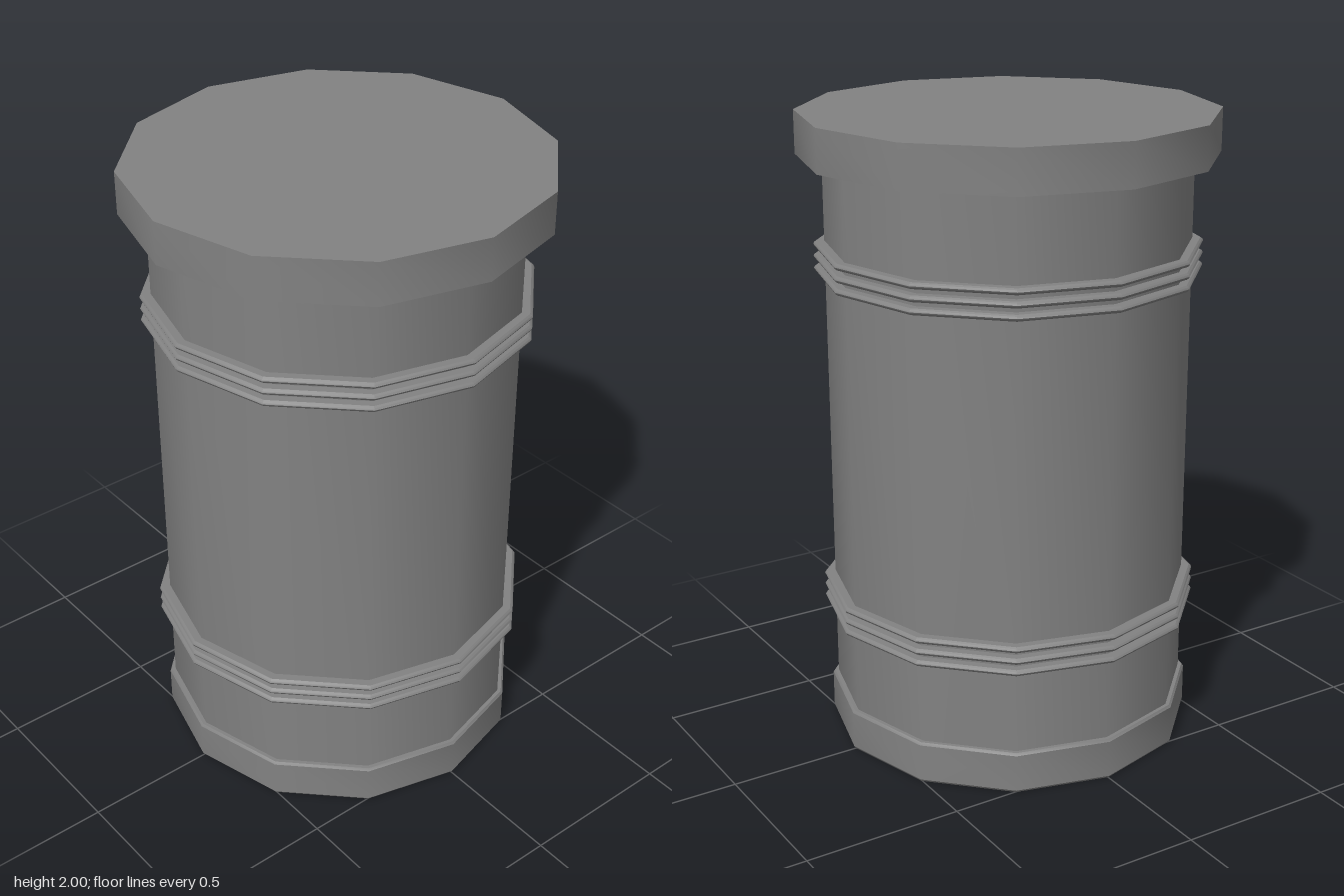
import * as THREE from 'three';
import { toCreasedNormals } from 'three/addons/utils/BufferGeometryUtils.js';

const SIDES = 12;
const material = new THREE.MeshStandardMaterial({ color: 0x828282 });

// Turns a [radius, height] profile, listed from bottom to top, into a twelve-sided part
function turned(name, profile) {
  const points = profile.map(([r, y]) => new THREE.Vector2(r, y));
  const geometry = toCreasedNormals(new THREE.LatheGeometry(points, SIDES), 0.6);
  const mesh = new THREE.Mesh(geometry, material);
  mesh.name = name;
  return mesh;
}

export function createModel() {
  const group = new THREE.Group();
  group.name = 'canister';

  // Base with finely bevelled edges
  group.add(turned('base', [
    [0, 0], [0.579, 0], [0.585, 0.008], [0.585, 0.127], [0.579, 0.135], [0.55, 0.135],
  ]));

  // Straight body wall
  group.add(turned('body', [[0.567, 0.12], [0.567, 1.88]]));

  // Overhanging lid
  group.add(turned('lid', [[0, 1.866], [0.647, 1.866], [0.647, 2], [0, 2]]));

  // Two bands of three thin rounded rings
  for (const [band, centre] of [['lowerBand', 0.45], ['upperBand', 1.55]]) {
    const rings = new THREE.Group();
    rings.name = band;
    for (const i of [-1, 0, 1]) {
      const ring = turned('ring', [
        [0.55, -0.01], [0.592, -0.01], [0.598, -0.006], [0.601, 0],
        [0.598, 0.006], [0.592, 0.01], [0.55, 0.01],
      ]);
      ring.position.y = centre + i * 0.038;
      rings.add(ring);
    }
    group.add(rings);
  }

  return group;
}
